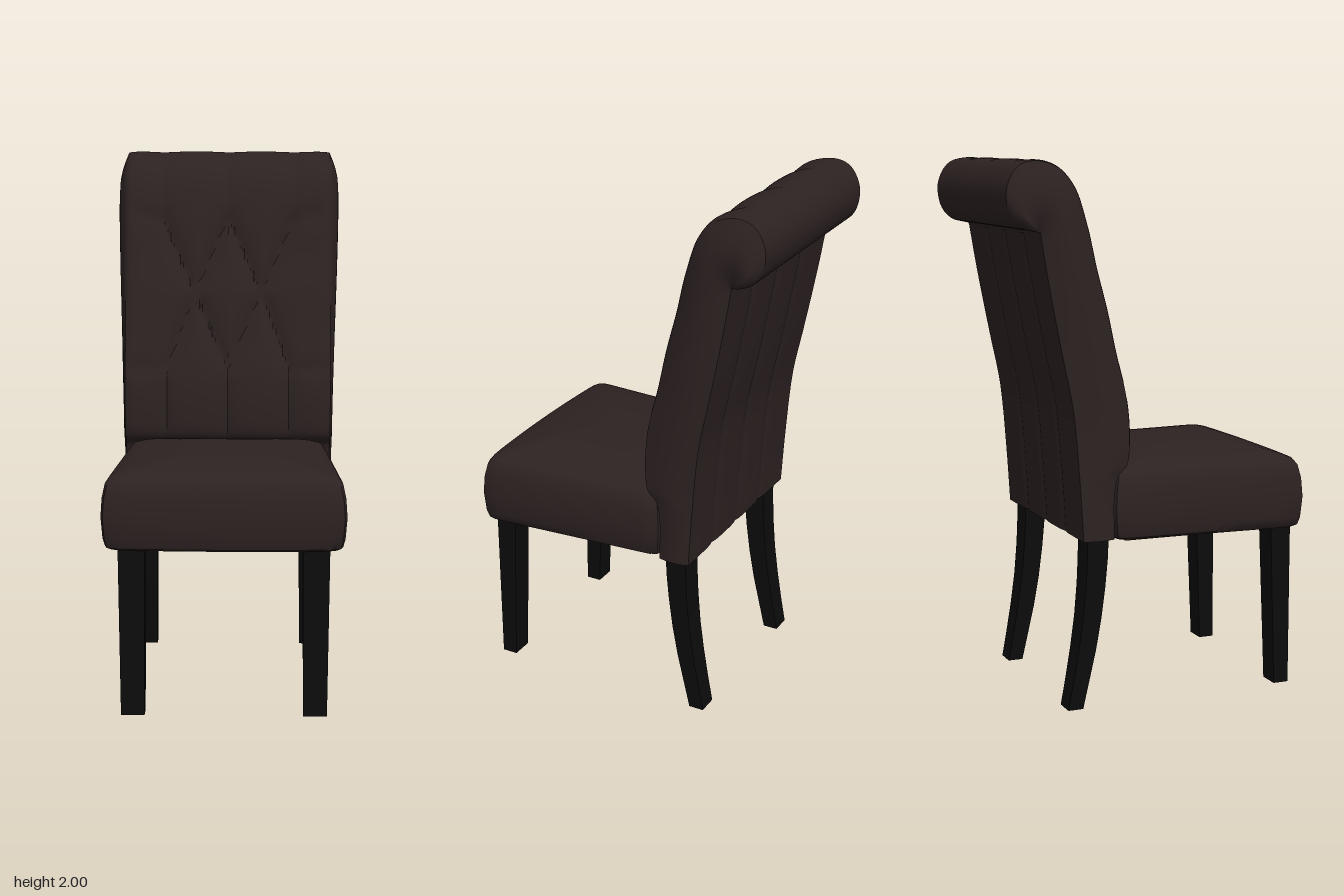
import * as THREE from 'three';
import { toCreasedNormals } from 'three/addons/utils/BufferGeometryUtils.js';

const material = (name, color, side = THREE.FrontSide) => {
  const m = new THREE.MeshStandardMaterial({ color, side });
  m.name = name;
  return m;
};

// Skin a stack of closed rings (counter-clockwise seen from above), closing both ends.
function loft(rings, crease) {
  const n = rings[0].length, pos = [], idx = [];
  rings.forEach(r => r.forEach(p => pos.push(p.x, p.y, p.z)));
  for (let i = 0; i < rings.length - 1; i++) {
    for (let j = 0; j < n; j++) {
      const a = i * n + j, b = i * n + (j + 1) % n;
      idx.push(a, b, b + n, a, b + n, a + n);
    }
  }
  [0, rings.length - 1].forEach((row, end) => {
    const c = new THREE.Vector3();
    rings[row].forEach(p => c.addScaledVector(p, 1 / n));
    const ci = pos.length / 3;
    pos.push(c.x, c.y, c.z);
    for (let j = 0; j < n; j++) {
      const a = row * n + j, b = row * n + (j + 1) % n;
      end ? idx.push(ci, a, b) : idx.push(ci, b, a);
    }
  });
  const g = new THREE.BufferGeometry();
  g.setAttribute('position', new THREE.Float32BufferAttribute(pos, 3));
  g.setIndex(idx);
  return toCreasedNormals(g, crease);
}

// Seat outline: softened square, wider at the front, with a slightly bowed front edge.
function seatRing(y, inset, scale = 1) {
  const pts = [], N = 20;
  const corners = [[-1, 1], [1, 1], [1, -1], [-1, -1]];
  corners.forEach(([x0, z0], k) => {
    const [x1, z1] = corners[(k + 1) % 4];
    for (let i = 0; i < N; i++) {
      let a = x0 + (x1 - x0) * i / N, b = z0 + (z1 - z0) * i / N;
      const r = Math.pow(Math.abs(a) ** 24 + Math.abs(b) ** 24, 1 / 24);
      a *= scale / r;
      b *= scale / r;
      const halfWidth = 0.42 + 0.025 * b - inset;
      const z = 0.202 + b * (0.388 - inset) - (b > 0 ? 0.015 * a * a * b : 0);
      pts.push(new THREE.Vector3(a * halfWidth, y, z));
    }
  });
  return pts;
}

function seatGeometry() {
  const rings = [[0.62, 0.03], [0.63, 0.014], [0.66, 0.006], [0.74, 0], [0.81, 0.005], [0.86, 0.016], [0.88, 0.03]]
    .map(([y, inset]) => seatRing(y, inset));
  for (let i = 1; i < 12; i++) {
    const s = 1 - i / 12;
    rings.push(seatRing(0.882 + 0.05 * (1 - s ** 2.5), 0.03, s));
  }
  return loft(rings, 0.75);
}

// Tufting seams on the front of the backrest: x1, y1, x2, y2, depth (right half, mirrored by |x|).
const SEAMS = [
  [0, 1.75, 0.13, 1.46, 0.03], [0.26, 1.75, 0.13, 1.46, 0.03],
  [0.13, 1.46, 0, 1.17, 0.03], [0.13, 1.46, 0.24, 1.17, 0.03],
  [0, 1.75, 0, 2.02, 0.014], [0.26, 1.75, 0.26, 2.02, 0.014],
  [0, 1.17, 0, 0.85, 0.022], [0.24, 1.17, 0.24, 0.85, 0.022],
  [0.26, 1.75, 0.34, 1.76, 0.016], [0.24, 1.17, 0.38, 1.175, 0.016],
];

function tuftDepth(x, y) {
  const ax = Math.abs(x);
  let depth = 0.012 * Math.exp(-(0.4 - ax) / 0.02);
  for (const [x1, y1, x2, y2, d] of SEAMS) {
    const dx = x2 - x1, dy = y2 - y1;
    const t = THREE.MathUtils.clamp(((ax - x1) * dx + (y - y1) * dy) / (dx * dx + dy * dy), 0, 1);
    const dist = Math.hypot(ax - x1 - t * dx, y - y1 - t * dy);
    depth = Math.max(depth, d * Math.exp(-dist / 0.04));
  }
  return depth;
}

// Backrest: matching front and back curves (z, y); the front one wraps over the scroll top.
const FRONT = [[-0.19, 0.635], [-0.19, 0.8], [-0.175, 0.865], [-0.13, 0.905], [-0.118, 1], [-0.13, 1.15],
  [-0.172, 1.32], [-0.205, 1.47], [-0.245, 1.62], [-0.28, 1.77], [-0.33, 1.91], [-0.395, 1.98],
  [-0.48, 2], [-0.55, 1.975], [-0.59, 1.9], [-0.577, 1.81], [-0.535, 1.765], [-0.475, 1.75]];
const BACK = [[-0.31, 0.635], [-0.32, 0.8], [-0.325, 0.87], [-0.328, 0.91], [-0.335, 1], [-0.35, 1.13],
  [-0.385, 1.3], [-0.415, 1.45], [-0.443, 1.6], [-0.463, 1.72], [-0.466, 1.738], [-0.467, 1.742],
  [-0.468, 1.744], [-0.468, 1.745], [-0.469, 1.746], [-0.469, 1.747], [-0.47, 1.748], [-0.47, 1.749]];

function backrestGeometry() {
  const curve = list => new THREE.CatmullRomCurve3(list.map(([z, y]) => new THREE.Vector3(0, y, z)));
  const front = curve(FRONT), back = curve(BACK);
  const ROWS = 120, NX = 64, NS = 8, W = 0.402, rings = [];
  for (let i = 0; i <= ROWS; i++) {
    const t = i / ROWS, f = front.getPoint(t), b = back.getPoint(t);
    const inward = b.clone().sub(f), len = inward.length();
    inward.normalize();
    const station = t * (FRONT.length - 1);
    const fade = THREE.MathUtils.smoothstep(station, 1.5, 3.5) * (1 - THREE.MathUtils.smoothstep(station, 10.5, 13));
    const puff = (0.012 + 0.022 * THREE.MathUtils.smoothstep(f.y, 0.9, 1.85)) * Math.min(1, len / 0.15);
    const ring = [];
    for (let j = 0; j < NX; j++) {              // tufted face
      const x = -W + 2 * W * j / NX;
      const p = f.clone().addScaledVector(inward, fade * tuftDepth(x, f.y));
      ring.push(p.setX(x));
    }
    const edge = f.clone().addScaledVector(inward, fade * tuftDepth(W, f.y));
    const sidePoint = (s, sign) => edge.clone().lerp(b, s).setX(sign * (W + puff * Math.sin(Math.PI * s)));
    for (let j = 0; j < NS; j++) ring.push(sidePoint(j / NS, 1));
    for (let j = 0; j < NX; j++) {              // rear face with vertical seams
      const x = W - 2 * W * j / NX;
      const d = Math.min(Math.abs(x), Math.abs(Math.abs(x) - 0.201));
      const groove = Math.min(0.007 * Math.exp(-d / 0.02), len * 0.2) * (station < 10 ? 1 : 0);
      ring.push(b.clone().addScaledVector(inward, -groove).setX(x));
    }
    for (let j = 0; j < NS; j++) ring.push(sidePoint(1 - j / NS, -1));
    rings.push(ring);
  }
  return loft(rings, 0.75);
}

// Square leg from stations: y, centre z, half width, half depth.
function legGeometry(stations) {
  const rings = stations.map(([y, z, w, d]) =>
    [[-w, d], [w, d], [w, -d], [-w, -d]].map(([x, dz]) => new THREE.Vector3(x, y, z + dz)));
  return loft(rings, 0.6);
}

export function createModel() {
  const upholstery = material('dark brown upholstery', 0x2d2222);
  const wood = material('black wood', 0x0c0c0c);
  const lining = material('olive underside lining', 0x382e1c, THREE.DoubleSide);
  const group = new THREE.Group();
  group.name = 'diningChair';
  const add = (name, geometry, mat) => {
    const mesh = new THREE.Mesh(geometry, mat);
    mesh.name = name;
    group.add(mesh);
    return mesh;
  };

  add('seat', seatGeometry(), upholstery);
  add('backrest', backrestGeometry(), upholstery);

  // Lining panel under the seat
  const panel = new THREE.Shape();
  panel.moveTo(-0.36, -0.13).lineTo(0.36, -0.13).lineTo(0.385, 0.53).lineTo(-0.385, 0.53).closePath();
  const liningGeometry = new THREE.ShapeGeometry(panel);
  liningGeometry.rotateX(Math.PI / 2);
  add('undersideLining', liningGeometry, lining).position.y = 0.616;

  // Straight front legs and swept rear legs
  const frontLeg = legGeometry([[0, 0.515, 0.043, 0.03], [0.64, 0.5, 0.049, 0.041]]);
  const rearLeg = legGeometry([[0, -0.332, 0.04, 0.029], [0.1, -0.311, 0.041, 0.031], [0.22, -0.287, 0.043, 0.034],
    [0.34, -0.268, 0.045, 0.036], [0.46, -0.255, 0.047, 0.038], [0.56, -0.248, 0.048, 0.04], [0.66, -0.245, 0.049, 0.041]]);
  for (const [side, sign] of [['left', 1], ['right', -1]]) {
    add(side + 'FrontLeg', frontLeg, wood).position.x = sign * 0.332;
    add(side + 'RearLeg', rearLeg, wood).position.x = sign * 0.332;
  }
  return group;
}
